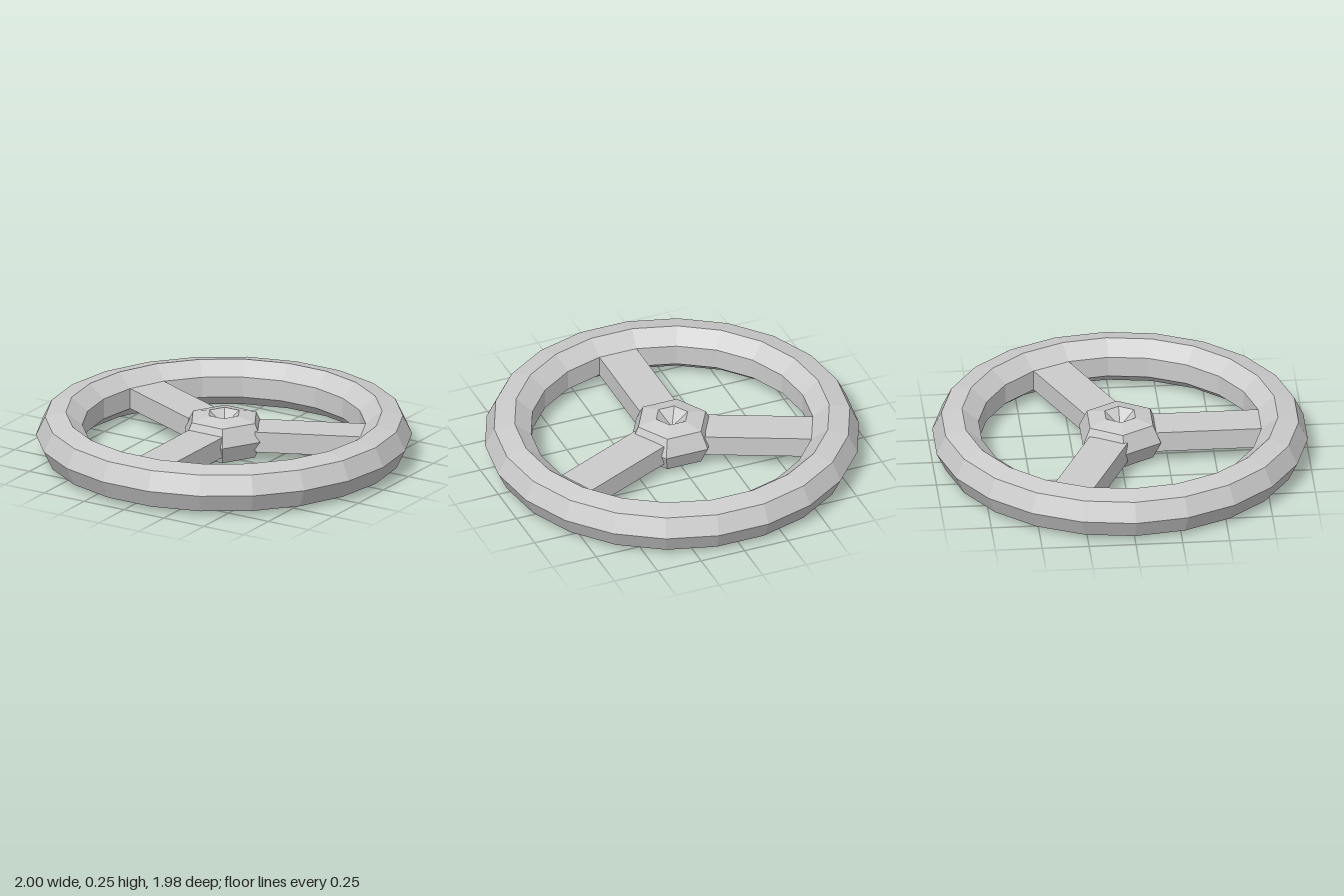
import * as THREE from 'three';

const SIDES = 22;            // facets around the rim
const TUBE_SIDES = 7;        // facets around the rim and hub sections
const RIM_RADIUS = 0.87, RIM_TUBE = 0.13;
const HUB_RADIUS = 0.118, HUB_TUBE = 0.122;

export function createModel() {
  const material = new THREE.MeshStandardMaterial({ color: 0xcccccc, flatShading: true });
  const wheel = new THREE.Group();
  wheel.name = 'handwheel';

  // Faceted ring lying flat
  const addRing = (name, radius, tube, sides) => {
    const geometry = new THREE.TorusGeometry(radius, tube, TUBE_SIDES, sides).rotateX(Math.PI / 2);
    const mesh = new THREE.Mesh(geometry, material);
    mesh.name = name;
    wheel.add(mesh);
  };
  addRing('rim', RIM_RADIUS, RIM_TUBE, SIDES);
  addRing('hub', HUB_RADIUS, HUB_TUBE, 6);

  // Spokes match the size of one inner rim facet and run from it into the hub
  const innerRadius = RIM_RADIUS - RIM_TUBE * Math.cos(Math.PI / TUBE_SIDES);
  const height = 2 * RIM_TUBE * Math.sin(Math.PI / TUBE_SIDES);
  const width = 2 * innerRadius * Math.sin(Math.PI / SIDES);
  const start = 0.18, end = innerRadius * Math.cos(Math.PI / SIDES) + 0.004;
  const spokeGeometry = new THREE.BoxGeometry(end - start, height, width)
    .translate((start + end) / 2, 0, 0);

  // Each spoke is centred on a rim facet: two at the back, one at the front
  const step = (2 * Math.PI) / SIDES;
  const angles = { leftSpoke: 1.5 * step, rightSpoke: Math.PI - 1.5 * step, frontSpoke: -Math.PI / 2 };
  for (const [name, angle] of Object.entries(angles)) {
    const spoke = new THREE.Mesh(spokeGeometry, material);
    spoke.name = name;
    spoke.rotation.y = angle;
    wheel.add(spoke);
  }

  // Rest the rim on the ground
  wheel.position.y = RIM_TUBE * Math.sin((4 * Math.PI) / TUBE_SIDES);
  const model = new THREE.Group();
  model.add(wheel);
  return model;
}
